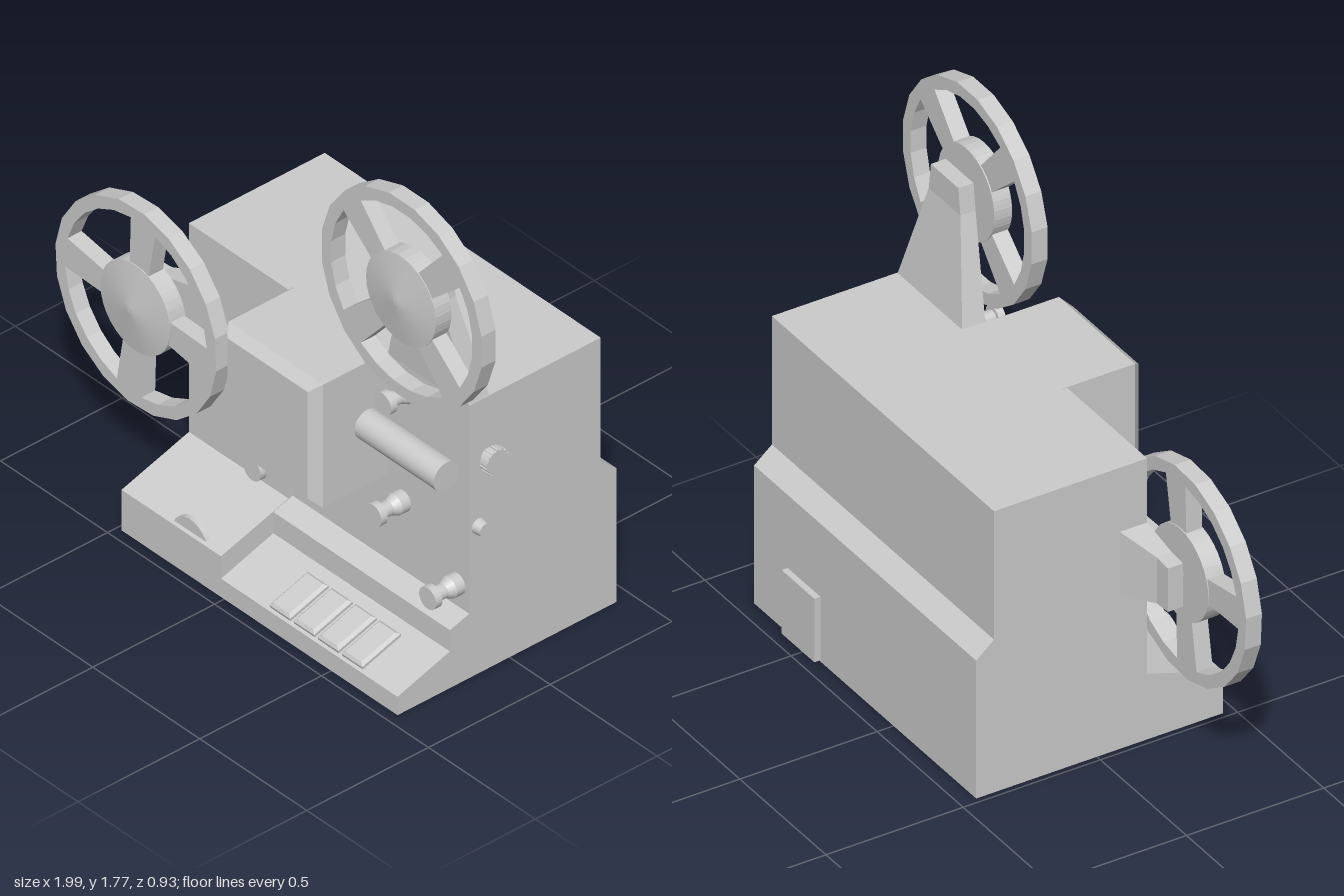
import * as THREE from 'three';

const flat = new THREE.MeshStandardMaterial({ color: 0xcccccc, flatShading: true });
const smooth = new THREE.MeshStandardMaterial({ color: 0xcccccc });

function add(parent, name, geometry, material = flat) {
  const mesh = new THREE.Mesh(geometry, material);
  mesh.name = name;
  parent.add(mesh);
  return mesh;
}

// Side profile of [z, y] points, extruded from x0 to x1
function sideExtrude(points, x0, x1) {
  const shape = new THREE.Shape(points.map(([z, y]) => new THREE.Vector2(z, y)));
  const g = new THREE.ExtrudeGeometry(shape, { depth: x1 - x0, bevelEnabled: false });
  return g.rotateY(-Math.PI / 2).translate(x1, 0, 0);
}

// Rectangular sections [y, x0, x1, z0, z1] joined from bottom to top
function loft(levels) {
  const n = levels.length - 1;
  const g = new THREE.BoxGeometry(1, 1, 1, 1, n, 1);
  const p = g.attributes.position;
  for (let i = 0; i < p.count; i++) {
    const [y, x0, x1, z0, z1] = levels[Math.round((p.getY(i) + 0.5) * n)];
    p.setXYZ(i, p.getX(i) < 0 ? x0 : x1, y, p.getZ(i) < 0 ? z0 : z1);
  }
  g.computeVertexNormals();
  return g;
}

// Cylinder along x or z between two positions on that axis
function rod(axis, a, b, r, sides = 20, r2 = r) {
  const g = new THREE.CylinderGeometry(r2, r, b - a, sides).translate(0, (a + b) / 2, 0);
  return axis === 'z' ? g.rotateX(Math.PI / 2) : g.rotateZ(-Math.PI / 2);
}

function createReel(name, x, y, turn) {
  const reel = new THREE.Group();
  reel.name = name;
  const R = 0.378, rimIn = 0.332, hubR = 0.163;
  const shape = new THREE.Shape();
  for (let i = 0; i < 20; i++) {
    const a = (i / 20) * Math.PI * 2;
    shape[i ? 'lineTo' : 'moveTo'](R * Math.cos(a), R * Math.sin(a));
  }
  // Four windows leave four spokes that widen slightly outwards
  for (let k = 0; k < 4; k++) {
    const points = [];
    const arc = (r, halfSpoke, reverse) => {
      const gap = Math.asin(halfSpoke / r), span = Math.PI / 2 - 2 * gap;
      for (let j = 0; j <= 5; j++) {
        const t = reverse ? 1 - j / 5 : j / 5;
        const a = k * Math.PI / 2 + gap + span * t;
        points.push(new THREE.Vector2(r * Math.cos(a), r * Math.sin(a)));
      }
    };
    arc(rimIn, 0.057, true);
    arc(hubR, 0.045, false);
    shape.holes.push(new THREE.Path(points));
  }
  const wheel = add(reel, 'reelWheel',
    new THREE.ExtrudeGeometry(shape, { depth: 0.058, bevelEnabled: false }));
  wheel.position.z = 0.218;
  wheel.rotation.z = turn;
  add(reel, 'reelHub', rod('z', 0.214, 0.279, hubR, 32), smooth);
  add(reel, 'reelHubCone', rod('z', 0.279, 0.302, hubR, 32, 0.01), smooth);
  add(reel, 'reelAxle', rod('z', 0.17, 0.22, 0.02, 16), smooth);
  reel.position.set(x, y, 0);
  return reel;
}

export function createModel() {
  const model = new THREE.Group();
  model.name = 'filmProjector';

  // Body in two slices; the wider slice has the open control tray
  const back = [[-0.375, 1.04], [-0.375, 0.565], [-0.44, 0.51], [-0.44, 0]];
  add(model, 'bodyPlainSide',
    sideExtrude([[0.46, 0], [0.46, 0.155], [0.183, 0.243], [0.183, 1.04], ...back], -0.48, -0.015));
  add(model, 'bodyTraySide',
    sideExtrude([[0.46, 0], [0.46, 0.07], [0.245, 0.14], [0.245, 0.221], [0.165, 0.245],
      [0.165, 1.04], ...back], -0.015, 0.81));

  // Lens housing with chamfered front edges, lofted forward along z
  add(model, 'lensHousing', loft([
    [0.16, -0.012, 0.43, -1.04, -0.57],
    [0.432, -0.012, 0.43, -1.04, -0.57],
    [0.465, 0.02, 0.396, -1.01, -0.602],
  ]).rotateX(Math.PI / 2));
  add(model, 'lensBarrel', rod('x', 0.42, 0.8, 0.053, 24), smooth).position.set(0, 0.805, 0.25);

  // Reel arms
  add(model, 'upperArm', loft([
    [1.03, 0.43, 0.81, 0.08, 0.165],
    [1.39, 0.528, 0.712, 0.135, 0.19],
    [1.485, 0.54, 0.70, 0.135, 0.19],
  ]));
  add(model, 'lowerArm', loft([
    [0.47, 0.565, 0.805, 0.08, 0.183],
    [0.62, 0.6, 0.77, 0.13, 0.185],
    [0.685, 0.605, 0.765, 0.13, 0.185],
  ]).rotateZ(Math.PI / 2));
  model.add(createReel('upperReel', 0.62, 1.397, Math.PI / 4));
  model.add(createReel('lowerReel', -0.622, 0.685, -0.1));

  // Film guide rollers on the front
  for (const [x, y] of [[0.545, 0.96], [0.5, 0.51], [-0.065, 0.375], [0.755, 0.333]]) {
    const roller = new THREE.Group();
    roller.name = 'filmRoller';
    add(roller, 'rollerBase', rod('z', 0.16, 0.2, 0.038), smooth);
    add(roller, 'rollerNeck', rod('z', 0.2, 0.265, 0.026), smooth);
    add(roller, 'rollerCollar', rod('z', 0.2, 0.225, 0.038, 20, 0.026), smooth);
    add(roller, 'rollerCap', rod('z', 0.262, 0.288, 0.04), smooth);
    roller.position.set(x, y, 0);
    model.add(roller);
  }

  // Push buttons on the sloping tray floor
  for (let i = 0; i < 4; i++) {
    const button = add(model, 'pushButton', loft([
      [-0.01, -0.048, 0.048, -0.083, 0.083],
      [0.01, -0.048, 0.048, -0.083, 0.083],
      [0.02, -0.038, 0.038, -0.073, 0.073],
    ]));
    button.position.set(0.25 + i * 0.1125, 0.1, 0.37);
    button.rotation.x = 0.315;
  }

  // Dial rising from the sloping ledge
  add(model, 'dialWheel', rod('z', 0.432, 0.448, 0.085, 32), smooth).position.set(-0.173, 0.12, 0);

  // Ribbed focus knob and small knob on the side
  const knob = new THREE.Group();
  knob.name = 'focusKnob';
  add(knob, 'knobStem', rod('x', 0.8, 0.825, 0.036), smooth);
  add(knob, 'knobHead', rod('x', 0.82, 0.853, 0.044), smooth);
  for (let i = 0; i < 14; i++) {
    const a = (i / 14) * Math.PI * 2;
    const rib = add(knob, 'knobRib', new THREE.BoxGeometry(0.031, 0.009, 0.009));
    rib.position.set(0.837, 0.043 * Math.cos(a), 0.043 * Math.sin(a));
    rib.rotation.x = a;
  }
  knob.position.set(0, 0.808, 0.085);
  model.add(knob);
  add(model, 'sideKnobStem', rod('x', 0.8, 0.815, 0.02), smooth).position.set(0, 0.567, 0.13);
  add(model, 'sideKnob', rod('x', 0.813, 0.846, 0.028, 20, 0.023), smooth).position.set(0, 0.567, 0.13);

  // Socket cover at the back
  add(model, 'backCover', new THREE.BoxGeometry(0.19, 0.235, 0.03)).position.set(0.52, 0.1225, -0.447);

  return model;
}
